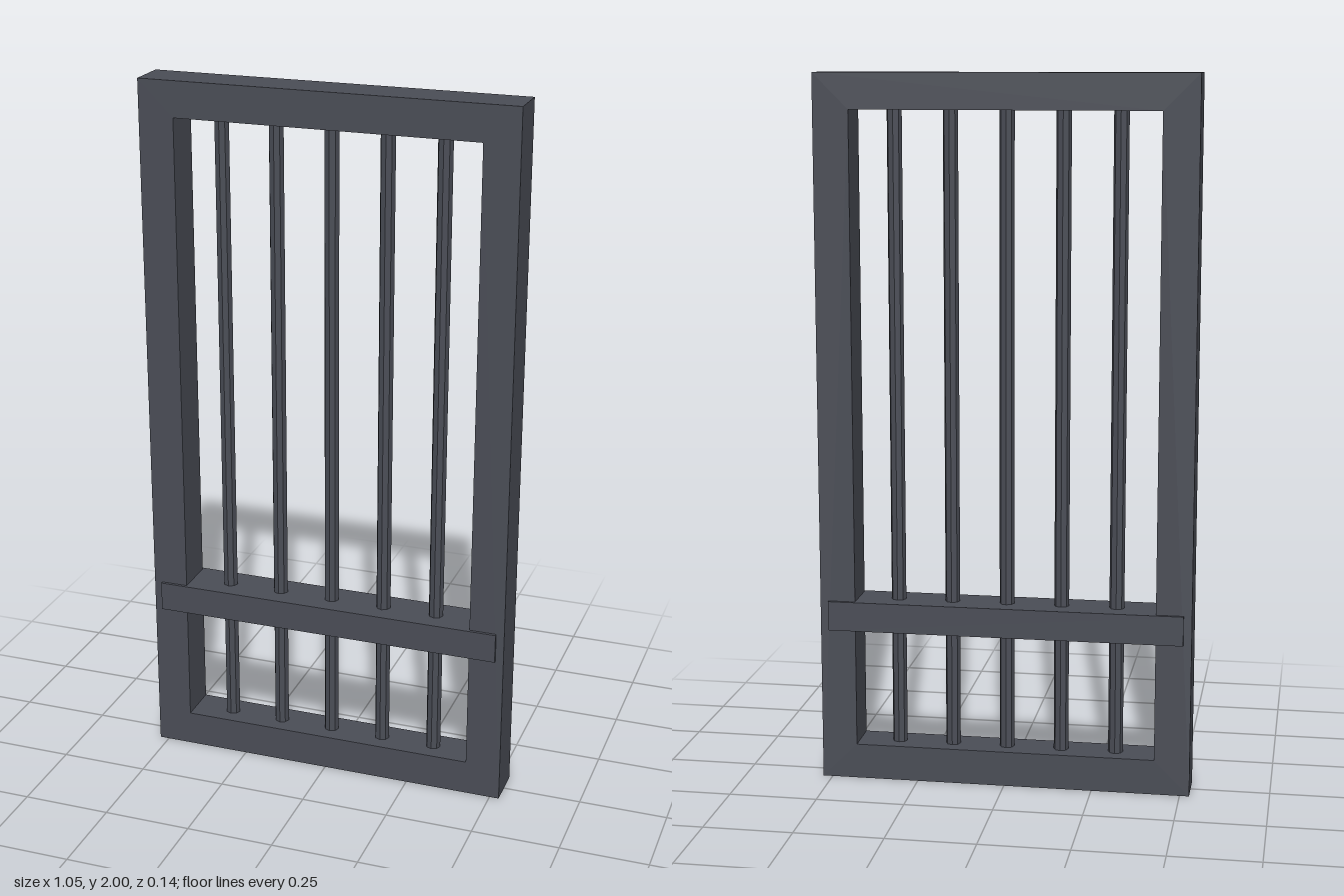
import * as THREE from 'three';

export function createModel() {
  const model = new THREE.Group();
  model.name = 'barredGate';
  const iron = new THREE.MeshStandardMaterial({ color: 0x4a4d56, flatShading: true });
  iron.name = 'dark iron';

  const add = (name, geometry, x, y, z) => {
    const mesh = new THREE.Mesh(geometry, iron);
    mesh.name = name;
    mesh.position.set(x, y, z);
    model.add(mesh);
  };

  // Rectangular frame with a single opening
  const W = 0.527, H = 2, T = 0.1, D = 0.12;
  const outline = new THREE.Shape();
  outline.moveTo(-W, 0).lineTo(W, 0).lineTo(W, H).lineTo(-W, H).closePath();
  const opening = new THREE.Path();
  opening.moveTo(-W + T, T).lineTo(-W + T, H - T).lineTo(W - T, H - T).lineTo(W - T, T).closePath();
  outline.holes.push(opening);
  add('frame', new THREE.ExtrudeGeometry(outline, { depth: D, bevelEnabled: false }), 0, 0, -D / 2);

  // Five upright bars
  const bar = new THREE.CylinderGeometry(0.021, 0.021, H - 2 * T, 8);
  for (let i = -2; i <= 2; i++) add('bar' + (i + 3), bar, i * 0.156, H / 2, 0);

  // Cross rail, slightly proud of the frame on both faces
  add('crossRail', new THREE.BoxGeometry(1.008, 0.084, 0.137), 0, 0.48, 0);

  return model;
}
